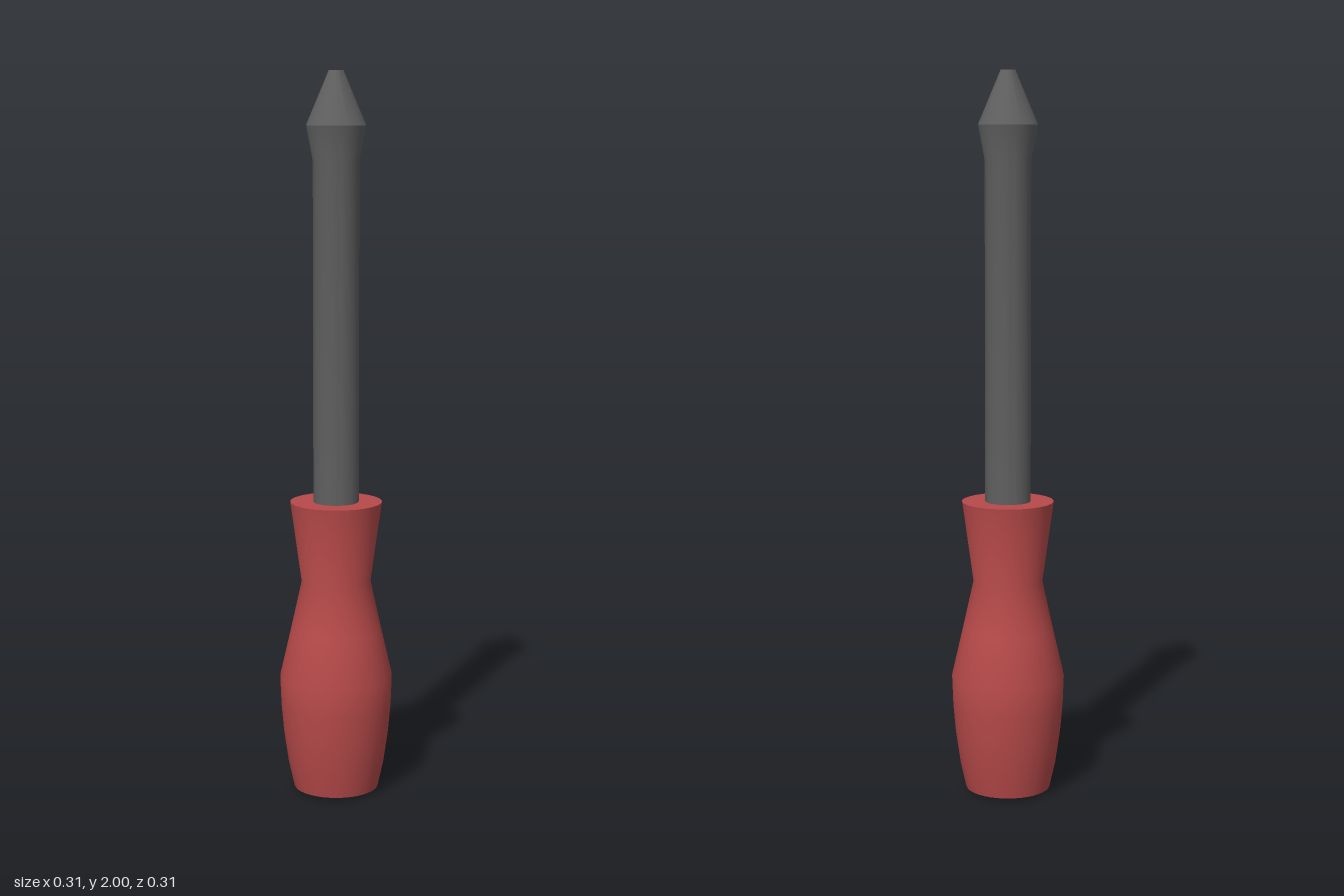
import * as THREE from 'three';
import { toCreasedNormals } from 'three/addons/utils/BufferGeometryUtils.js';

const SEGMENTS = 36;

// Turned part from [radius, height] pairs, bottom to top; sharp corners stay creased
function turned(name, profile, color) {
  const points = profile.map(([r, y]) => new THREE.Vector2(r, y));
  const geometry = toCreasedNormals(new THREE.LatheGeometry(points, SEGMENTS), 0.5);
  const mesh = new THREE.Mesh(geometry, new THREE.MeshStandardMaterial({ color }));
  mesh.name = name;
  return mesh;
}

export function createModel() {
  const model = new THREE.Group();
  model.name = 'screwdriver';

  // Handle: very slightly domed base, bulging grip, narrow neck, flared collar
  model.add(turned('handle', [
    [0, 0], [0.118, 0.008], [0.134, 0.08], [0.147, 0.17], [0.154, 0.25],
    [0.157, 0.33], [0.126, 0.465], [0.096, 0.6], [0.127, 0.826], [0, 0.826],
  ], 0xb84a4a));

  // Shaft, seated inside the handle, with flared head and blunt conical tip
  model.add(turned('shaft', [
    [0, 0.7], [0.063, 0.7], [0.063, 1.76], [0.081, 1.855], [0.02, 2], [0, 2],
  ], 0x606060));

  return model;
}
